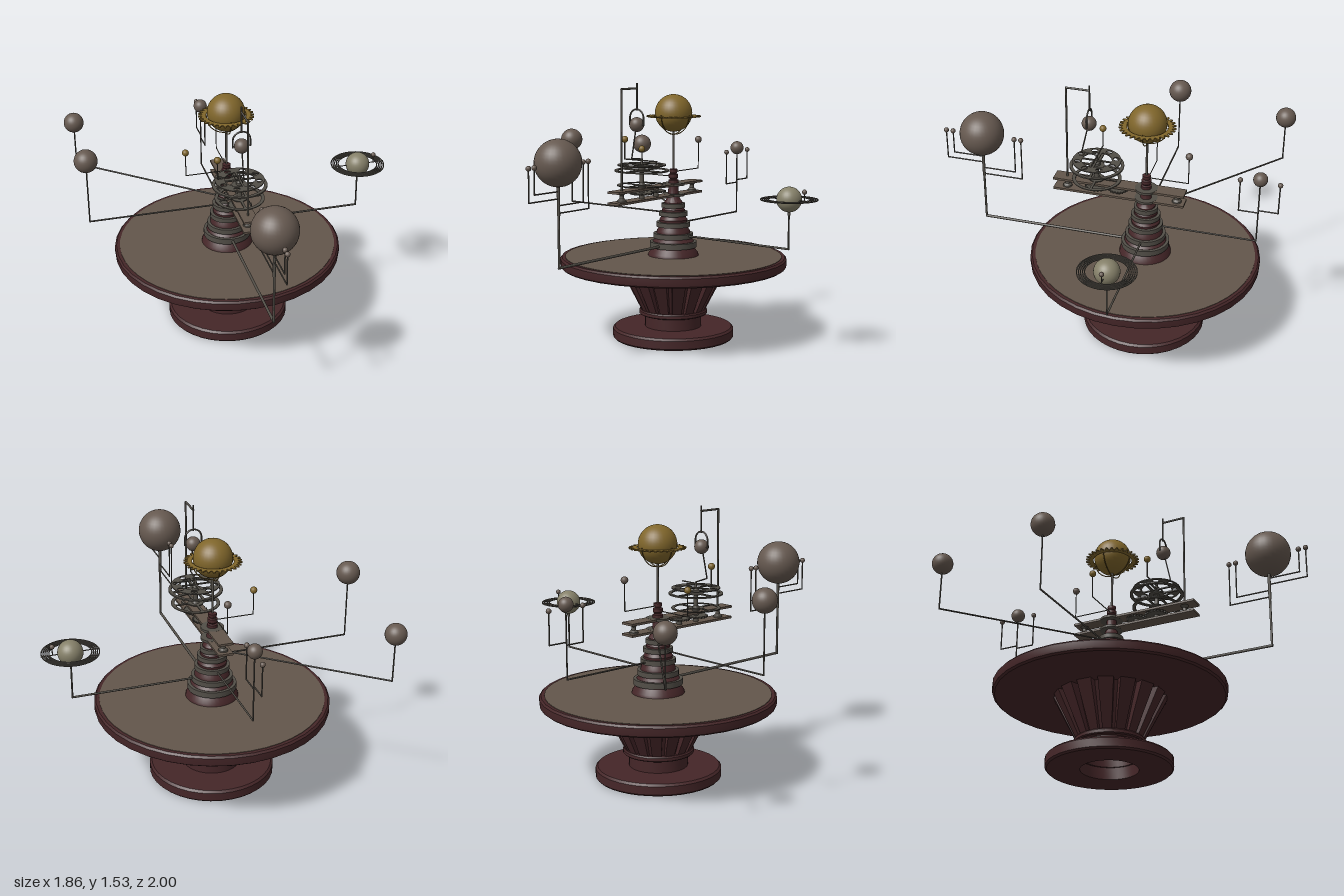
import * as THREE from 'three';
import { toCreasedNormals } from 'three/addons/utils/BufferGeometryUtils.js';

const make = (name, color) => {
  const m = new THREE.MeshStandardMaterial({ color });
  m.name = name;
  return m;
};
const wood = make('dark red wood', 0x452628);
const top = make('table top brown', 0x63564b);
const stone = make('planet grey brown', 0x665950);
const gold = make('old gold', 0x80662b);
const pale = make('pale planet', 0x858069);
const metal = make('dark metal', 0x524e47);
const V = (x, y, z) => new THREE.Vector3(x, y, z);

export function createModel() {
  const root = new THREE.Group();
  root.name = 'orrery';
  // everything turns around the column axis
  root.position.set(-0.05, 0, -0.227);

  const add = (name, geo, mat, x = 0, y = 0, z = 0, parent = root) => {
    const m = new THREE.Mesh(geo, mat);
    m.name = name;
    m.position.set(x, y, z);
    parent.add(m);
    return m;
  };
  const lathe = (name, pts, mat, x = 0, z = 0, seg = 36) => {
    const g = new THREE.LatheGeometry(pts.map(p => new THREE.Vector2(p[0], p[1])), seg);
    return add(name, toCreasedNormals(g, 0.5), mat, x, 0, z);
  };
  const ball = (name, r, mat, x, y, z) =>
    add(name, new THREE.SphereGeometry(r, r > 0.03 ? 32 : 14, r > 0.03 ? 20 : 10), mat, x, y, z);
  // straight rods through a list of points
  const rods = (name, r, pts, mat = metal) => {
    for (let i = 1; i < pts.length; i++) {
      const a = pts[i - 1], b = pts[i], d = b.clone().sub(a);
      const m = add(name, new THREE.CylinderGeometry(r, r, d.length() + r, 8), mat);
      m.position.copy(a).addScaledVector(d, 0.5);
      m.quaternion.setFromUnitVectors(V(0, 1, 0), d.normalize());
    }
  };
  const disc = (name, r, y0, y1, mat, x = 0, z = 0, seg = 32) =>
    add(name, new THREE.CylinderGeometry(r, r, y1 - y0, seg), mat, x, (y0 + y1) / 2, z);
  const flat = (name, shape, h, mat, x, y, z) => {
    const g = new THREE.ExtrudeGeometry(shape, { depth: h, bevelEnabled: false, curveSegments: 24 });
    g.rotateX(-Math.PI / 2);
    return add(name, g, mat, x, y, z);
  };
  const circle = (r, x = 0, y = 0) => new THREE.Path().absarc(x, y, r, 0, Math.PI * 2, true);
  const round = r => new THREE.Shape().absarc(0, 0, r, 0, Math.PI * 2, false);
  const gear = (r0, r1, teeth) => {
    const s = new THREE.Shape();
    for (let i = 0; i < teeth * 4; i++) {
      const a = i / (teeth * 4) * Math.PI * 2, r = i % 4 < 2 ? r1 : r0;
      s[i ? 'lineTo' : 'moveTo'](r * Math.cos(a), r * Math.sin(a));
    }
    s.closePath();
    return s;
  };

  // pedestal
  lathe('base', [[0.165, 0], [0.352, 0], [0.362, 0.01], [0.362, 0.058], [0.35, 0.07], [0.165, 0.07], [0.165, 0]], wood);
  lathe('drum', [[0.155, 0.07], [0.169, 0.07], [0.169, 0.15], [0.155, 0.15], [0.155, 0.07]], wood);
  lathe('collar', [[0.155, 0.145], [0.198, 0.145], [0.204, 0.151], [0.204, 0.168], [0.198, 0.175], [0.155, 0.175], [0.155, 0.145]], wood);
  lathe('flare', [[0.15, 0.17], [0.17, 0.17], [0.28, 0.432], [0.26, 0.432], [0.15, 0.17]], wood);
  const ribs = 16;
  for (let i = 0; i < ribs; i++) {
    const g = new THREE.BoxGeometry(0.088, 1, 0.05), p = g.attributes.position;
    for (let k = 0; k < p.count; k++) {
      const t = p.getY(k) + 0.5;
      p.setXYZ(k, p.getX(k) * (0.58 + 0.42 * t), 0.172 + 0.26 * t, p.getZ(k) + 0.166 + 0.132 * t);
    }
    g.computeVertexNormals();
    add('rib', g, wood).rotation.y = i / ribs * Math.PI * 2;
  }

  // table
  lathe('tableRim', [[0, 0.431], [0.66, 0.431], [0.672, 0.44], [0.675, 0.455], [0.675, 0.486], [0.665, 0.497], [0, 0.497]], wood);
  disc('tableTop', 0.645, 0.49, 0.5, top, 0, 0, 48);

  // stepped column with one metal ring for each arm
  lathe('column', [[0.152, 0.497], [0.148, 0.515], [0.125, 0.545], [0.122, 0.585], [0.108, 0.6], [0.1, 0.635],
    [0.098, 0.65], [0.085, 0.67], [0.082, 0.7], [0.084, 0.715], [0.07, 0.735], [0.068, 0.765], [0.068, 0.775],
    [0.056, 0.79], [0.054, 0.82], [0.042, 0.835], [0.032, 0.86], [0.03, 0.92], [0.03, 0.95], [0.02, 0.955],
    [0.028, 0.965], [0.028, 0.985], [0.018, 0.99], [0.024, 1.0], [0.024, 1.015], [0, 1.02]], wood);
  [[0.14, 0.567, 0.034], [0.118, 0.62, 0.03], [0.1, 0.687, 0.028], [0.085, 0.751, 0.026], [0.07, 0.8, 0.026]]
    .forEach(([r, y, h]) => disc('armRing', r, y - h / 2, y + h / 2, metal));

  // planets on cranked arms
  const planet = (name, x, z, armY, y, r, mat, rod) => {
    rods(name + 'Arm', rod, [V(0, armY, 0), V(x, armY, z)]);
    rods(name + 'Post', rod * 0.85, [V(x, armY, z), V(x, y, z)]);
    ball(name, r, mat, x, y, z);
  };
  const moon = (x, z, dz, barY, y) => {
    rods('moonBracket', 0.004, [V(x, barY, z), V(x, barY, z + dz), V(x, y, z + dz)]);
    ball('moon', 0.015, stone, x, y, z + dz);
  };
  planet('largePlanet', 0, 0.989, 0.566, 1.133, 0.129, stone, 0.008);
  planet('ringedPlanet', 0.814, 0, 0.624, 0.903, 0.071, pale, 0.006);
  planet('rearPlanet', 0, -0.648, 0.687, 1.094, 0.041, stone, 0.005);
  planet('leftPlanet', -0.818, 0, 0.752, 1.146, 0.067, stone, 0.005);
  planet('diagonalPlanet', -0.791, -0.663, 0.792, 1.073, 0.06, stone, 0.005);
  disc('postSleeve', 0.009, 0.85, 1.01, metal, 0, 0.989, 10);
  disc('postCap', 0.009, 0.815, 0.84, metal, 0.814, 0, 10);
  [[0.222, 0.941], [0.18, 0.98], [-0.197, 0.904], [-0.238, 0.863]].forEach(([dz, b]) => moon(0, 0.989, dz, b, 1.122));
  [[0.112, 0.875], [-0.112, 0.891]].forEach(([dz, b]) => moon(0, -0.648, dz, b, 1.074));

  // planet rings and their moon
  for (let i = 0; i < 5; i++) {
    const r = 0.116 + i * 0.0105;
    const s = round(r + 0.003);
    s.holes.push(circle(r - 0.003));
    flat('planetRing', s, 0.005, metal, 0.814, 0.9, 0);
  }
  rods('ringSpoke', 0.003, [V(0.652, 0.902, 0), V(0.976, 0.902, 0)]);
  rods('ringMoonPost', 0.003, [V(0.913, 0.902, 0), V(0.913, 0.95, 0)]);
  ball('ringMoon', 0.014, stone, 0.913, 0.952, 0);

  // sun with toothed crown and cradle
  rods('sunPost', 0.007, [V(0, 1, 0), V(0, 1.26, 0)]);
  ball('sun', 0.11, gold, 0, 1.347, 0);
  const crown = gear(0.138, 0.16, 30);
  crown.holes.push(circle(0.115));
  flat('sunCrown', crown, 0.007, gold, 0, 1.324, 0);
  for (const a of [0, Math.PI / 2]) {
    const c = add('sunCradle', new THREE.TorusGeometry(0.116, 0.003, 6, 32, Math.PI), gold, 0, 1.337, 0);
    c.rotation.set(0, a, Math.PI, 'YXZ');
  }

  // small inner planets
  rods('innerArm', 0.003, [V(0, 0.972, 0), V(-0.243, 0.972, 0), V(-0.243, 1.12, 0)]);
  ball('innerPlanet', 0.02, gold, -0.243, 1.12, 0);
  rods('innerArm', 0.003, [V(0, 1.0, 0), V(0, 1.0, -0.243), V(0, 1.174, -0.243)]);
  ball('innerPlanet', 0.021, stone, 0, 1.174, -0.243);

  // double-deck gear platform
  for (const y of [0.863, 0.926]) {
    add('platformDeck', new THREE.BoxGeometry(0.086, 0.013, 0.773), top, 0, y, 0.159);
    disc('platformBoss', 0.066, y - 0.007, y + 0.007, metal);
  }
  for (const z of [-0.18, 0.471])
    lathe('platformPillar', [[0.028, 0.868], [0.026, 0.877], [0.014, 0.888], [0.012, 0.905], [0.024, 0.92]], metal, 0, z, 16);
  [[0.07, 0.294], [0.06, 0.165]].forEach(([r, z]) => {
    flat('deckGear', gear(r - 0.01, r, 20), 0.01, metal, 0, 0.895, z);
    disc('gearHub', 0.016, 0.868, 0.925, metal, 0, z, 12);
  });

  // stack of pierced wheels
  const cz = 0.294;
  const wheel = (y, r, inner, h) => {
    const s = round(r);
    s.holes.push(circle(inner));
    flat('wheelRim', s, h, metal, 0, y, cz);
    flat('wheelHub', round(0.045), h, metal, 0, y, cz);
    for (const a of [0, Math.PI / 2])
      add('wheelSpoke', new THREE.BoxGeometry(inner * 2 + 0.01, h, 0.014), metal, 0, y + h / 2, cz).rotation.y = a;
  };
  wheel(1.028, 0.157, 0.138, 0.008);
  wheel(0.945, 0.142, 0.122, 0.005);
  const pierced = round(0.14);
  pierced.holes.push(circle(0.086));
  for (let i = 0; i < 8; i++) {
    const a = (i + 0.5) * Math.PI / 4;
    pierced.holes.push(circle(0.018, 0.112 * Math.cos(a), 0.112 * Math.sin(a)));
  }
  flat('piercedWheel', pierced, 0.006, metal, 0, 1.061, cz);
  for (const a of [0, Math.PI / 2])
    add('piercedWheelSpoke', new THREE.BoxGeometry(0.18, 0.006, 0.012), metal, 0, 1.064, cz).rotation.y = a;
  lathe('wheelSpindle', [[0.022, 0.93], [0.022, 0.95], [0.014, 0.96], [0.012, 1.02], [0.02, 1.03], [0.02, 1.05], [0.008, 1.06], [0.006, 1.1], [0, 1.102]], metal, 0, cz, 16);
  rods('spindleArm', 0.004, [V(0.11, 1.09, cz), V(-0.127, 1.09, cz), V(-0.127, 1.2, cz)]);
  ball('spindlePlanet', 0.02, gold, -0.127, 1.204, cz);

  // hanging globe in a forked arch
  rods('gallows', 0.006, [V(0, 0.93, 0.471), V(0, 1.503, 0.471), V(0, 1.503, 0.335)]);
  rods('gallowsPin', 0.005, [V(0, 1.53, 0.335), V(0, 1.38, 0.335)]);
  ball('globe', 0.042, stone, 0, 1.298, 0.338);
  add('globeArch', new THREE.TorusGeometry(0.05, 0.005, 8, 24, Math.PI), metal, 0, 1.335, 0.338);
  for (const x of [-0.05, 0.05]) rods('globeFork', 0.005, [V(x, 1.335, 0.338), V(x, 1.295, 0.338)]);
  rods('globePivot', 0.004, [V(-0.05, 1.298, 0.338), V(0.05, 1.298, 0.338)]);
  rods('globeAxle', 0.004, [V(0, 1.3, 0.34), V(0, 1.108, 0.383), V(0, 1.098, cz)]);
  return root;
}
